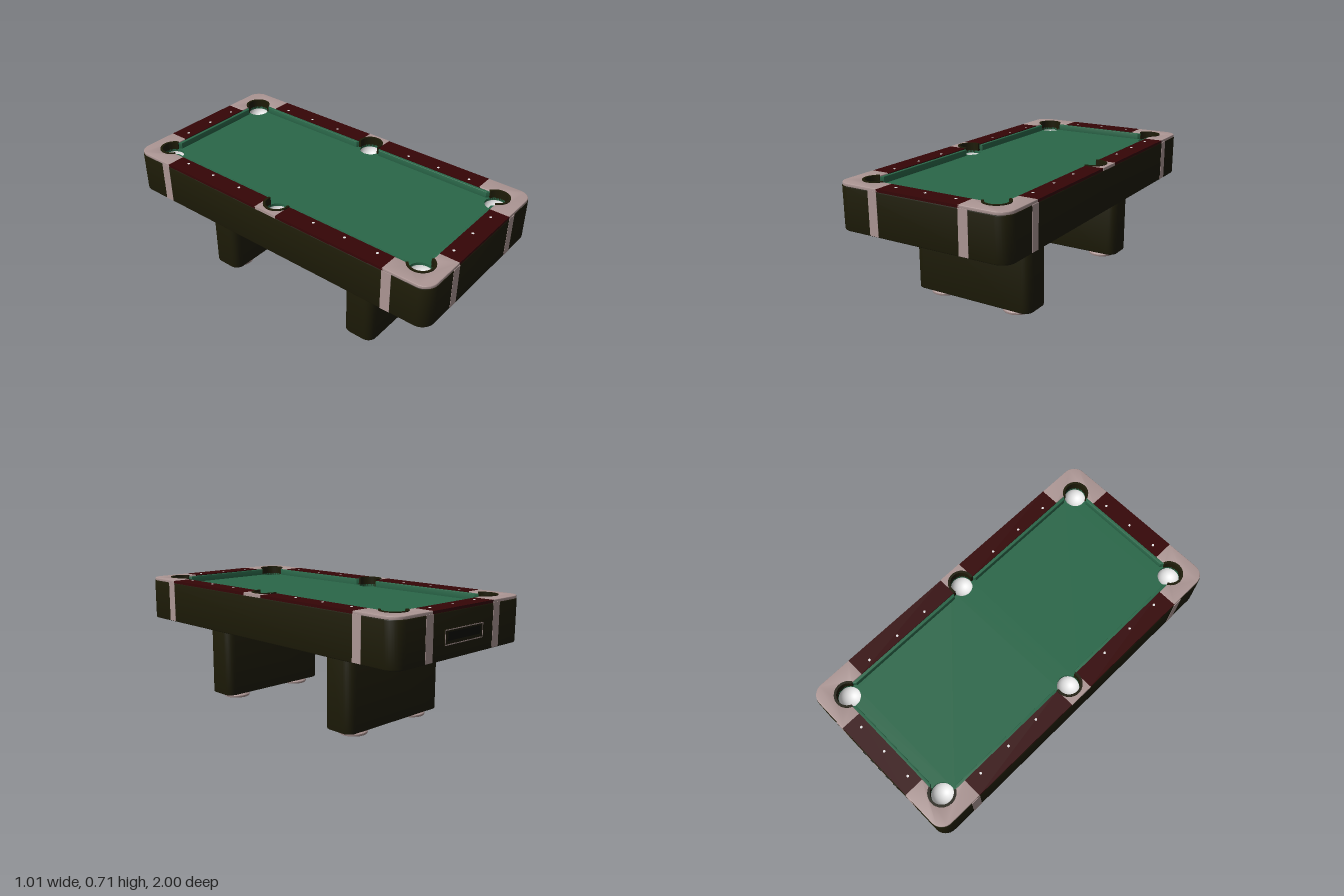
import * as THREE from 'three';
import { toCreasedNormals } from 'three/addons/utils/BufferGeometryUtils.js';

const mat = (name, color, side = THREE.FrontSide) => {
  const m = new THREE.MeshStandardMaterial({ color, side });
  m.name = name;
  return m;
};

// Points on an arc, angles in degrees
const arc = (cx, cy, r, a0, a1, n = 8) =>
  Array.from({ length: n + 1 }, (_, i) => {
    const a = THREE.MathUtils.degToRad(a0 + ((a1 - a0) * i) / n);
    return [cx + r * Math.cos(a), cy + r * Math.sin(a)];
  });

const roundRect = (w, d, r) => [
  ...arc(w - r, d - r, r, 0, 90), ...arc(r - w, d - r, r, 90, 180),
  ...arc(r - w, r - d, r, 180, 270), ...arc(w - r, r - d, r, 270, 360),
];

const flip = (pts, sx, sz) => pts.map(([x, z]) => [x * sx, z * sz]);
const vecs = (pts) => pts.map(([x, y]) => new THREE.Vector2(x, y));

// Extrudes a plan outline (x, z) between two heights
function slab(pts, y0, y1, bevel = 0, holes = []) {
  const shape = new THREE.Shape(vecs(pts));
  holes.forEach((h) => shape.holes.push(new THREE.Path(vecs(h))));
  const geo = new THREE.ExtrudeGeometry(shape, {
    depth: y1 - y0 - 2 * bevel, bevelEnabled: bevel > 0, bevelThickness: bevel,
    bevelSize: bevel, bevelOffset: -bevel, bevelSegments: 3,
  });
  geo.rotateX(Math.PI / 2).translate(0, y1 - bevel, 0);
  return toCreasedNormals(geo, 0.6);
}

export function createModel() {
  const dark = mat('darkOlive', 0x1d1b07);
  const trim = mat('paleTrim', 0xac9694);
  const wood = mat('redWood', 0x350506);
  const felt = mat('greenFelt', 0x2a6749);
  const white = mat('white', 0xf4f4f4, THREE.DoubleSide);
  const black = mat('recessBlack', 0x0c0b04);

  const model = new THREE.Group();
  model.name = 'poolTable';
  const table = new THREE.Group();
  table.name = 'table';
  table.position.z = 0.002;
  model.add(table);

  const add = (name, geo, material, x = 0, y = 0, z = 0) => {
    const m = new THREE.Mesh(geo, material);
    m.name = name;
    m.position.set(x, y, z);
    table.add(m);
    return m;
  };
  const box = (name, w, h, d, material, x, y, z) =>
    add(name, new THREE.BoxGeometry(w, h, d), material, x, y, z);

  const W = 0.503, L = 0.998, R = 0.07;
  const topX = W - 0.002, topZ = L - 0.002; // outer edge of rails and caps
  const inX = 0.395, inZ = 0.885; // inner edge of the rails
  const capX = 0.24, capZ = 0.735; // where the corner caps end
  const rail0 = 0.69, rail1 = 0.705;
  const cornerX = 0.36, cornerZ = 0.86, sideX = 0.41;
  const hole = 0.06, rim = 0.073;
  const signs = [1, -1];

  // Cabinet: hollow frame and floor
  add('cabinet', slab(roundRect(W, L, R), 0.458, rail0 + 0.002, 0.006,
    [roundRect(0.48, 0.975, 0.05)]), dark);
  add('cabinetFloor', slab(roundRect(0.49, 0.985, 0.06), 0.458, 0.48), dark);

  // Playing bed with six pocket holes
  const pockets = [];
  for (const sx of signs) {
    pockets.push([sx * sideX, 0]);
    for (const sz of signs) pockets.push([sx * cornerX, sz * cornerZ]);
  }
  add('bed', slab(roundRect(0.485, 0.98, 0.055), 0.65, 0.665, 0,
    pockets.map(([x, z]) => arc(x, z, hole, 0, 351, 39))), felt);

  // White pocket bowls under the bed
  const bowl = new THREE.SphereGeometry(hole + 0.001, 32, 12, 0, Math.PI * 2, Math.PI / 2, Math.PI / 2);
  for (const [x, z] of pockets) add('pocketBowl', bowl, white, x, 0.655, z);

  // Outlines for the positive quadrant, mirrored below
  const cornerCap = [
    [capX, inZ], ...arc(cornerX, cornerZ, rim - 0.003, 159, -60, 24),
    [inX, capZ], [topX, capZ], ...arc(topX - R, topZ - R, R, 0, 90), [capX, topZ],
  ];
  const cornerRim = [
    ...arc(cornerX, cornerZ, rim, 159, -60, 28), ...arc(cornerX, cornerZ, hole, -60, 159, 28),
  ];
  const sideCushion = [[0.398, 0.07], [0.398, 0.805], [0.379, 0.788], [0.379, 0.08]];
  const endCushion = [[-0.3, 0.888], [0.3, 0.888], [0.285, 0.869], [-0.285, 0.869]];
  const sideRail = [[inX, 0.07], [topX, 0.07], [topX, capZ + 0.005], [inX, capZ + 0.005]];
  const endRail = [
    [-capX - 0.005, inZ], [capX + 0.005, inZ], [capX + 0.005, topZ], [-capX - 0.005, topZ],
  ];
  const sideCap = [
    ...arc(sideX, 0, rim - 0.003, -80, 80, 20), [sideX + 0.012, 0.07], [W, 0.07],
    [W, -0.07], [sideX + 0.012, -0.07],
  ];
  const sideRim = [...arc(sideX, 0, rim, -105, 105, 28), ...arc(sideX, 0, hole, 105, -105, 28)];
  const stud = new THREE.CylinderGeometry(0.007, 0.007, 0.004, 12);

  for (const sx of signs) {
    // Side pockets
    add('sidePocketCap', slab(flip(sideCap, sx, 1), rail0, rail1 + 0.001), trim);
    add('sidePocketRim', slab(flip(sideRim, sx, 1), 0.655, 0.71), dark);

    for (const sz of signs) {
      add('cornerCap', slab(flip(cornerCap, sx, sz), rail0 - 0.003, rail1 + 0.001, 0.003), trim);
      add('cornerPocketRim', slab(flip(cornerRim, sx, sz), 0.655, 0.71), dark);
      add('sideRail', slab(flip(sideRail, sx, sz), rail0, rail1), wood);
      add('sideCushion', slab(flip(sideCushion, sx, sz), 0.66, 0.7, 0.002), felt);
      for (const z of [0.26, 0.458, 0.655]) add('railStud', stud, white, sx * 0.425, rail1, sz * z);

      // Pale bands down the cabinet
      box('endBand', 0.054, 0.23, 0.003, trim, sx * 0.268, 0.577, sz * L);
      box('sideBand', 0.003, 0.23, 0.055, trim, sx * W, 0.577, sz * 0.7625);
    }
  }

  // End rails, cushions and studs
  for (const sz of signs) {
    add('endRail', slab(flip(endRail, 1, sz), rail0, rail1), wood);
    add('endCushion', slab(flip(endCushion, 1, sz), 0.66, 0.7, 0.002), felt);
    for (const x of [-0.178, 0, 0.178]) add('railStud', stud, white, x, rail1, sz * 0.925);
  }

  // Ball return on the back: dark surround, pale outline and recess
  const ty = 0.567;
  box('returnSurround', 0.312, 0.08, 0.006, dark, 0, ty, -L);
  for (const s of signs) {
    box('returnOutline', 0.306, 0.005, 0.002, trim, 0, ty + s * 0.036, -L - 0.003);
    box('returnOutline', 0.005, 0.077, 0.002, trim, s * 0.1505, ty, -L - 0.003);
  }
  box('returnRecess', 0.26, 0.042, 0.002, black, 0, ty + 0.004, -L - 0.003);

  // Pedestal legs with pairs of round feet
  const legGeo = slab(roundRect(0.362, 0.0945, 0.05), 0.03, 0.462, 0.005);
  const footGeo = toCreasedNormals(new THREE.LatheGeometry(vecs([
    [0.036, 0.03], [0.04, 0.008], [0.046, 0], [0.075, 0], [0.077, 0.004],
    [0.077, 0.012], [0.07, 0.019], [0.048, 0.027], [0.044, 0.032],
  ]), 32), 0.7);
  for (const sz of signs) {
    const z = sz * 0.495 + 0.004;
    add('leg', legGeo, dark, 0, 0, z);
    for (const sx of signs) add('foot', footGeo, trim, sx * 0.235, 0, z);
  }

  return model;
}
